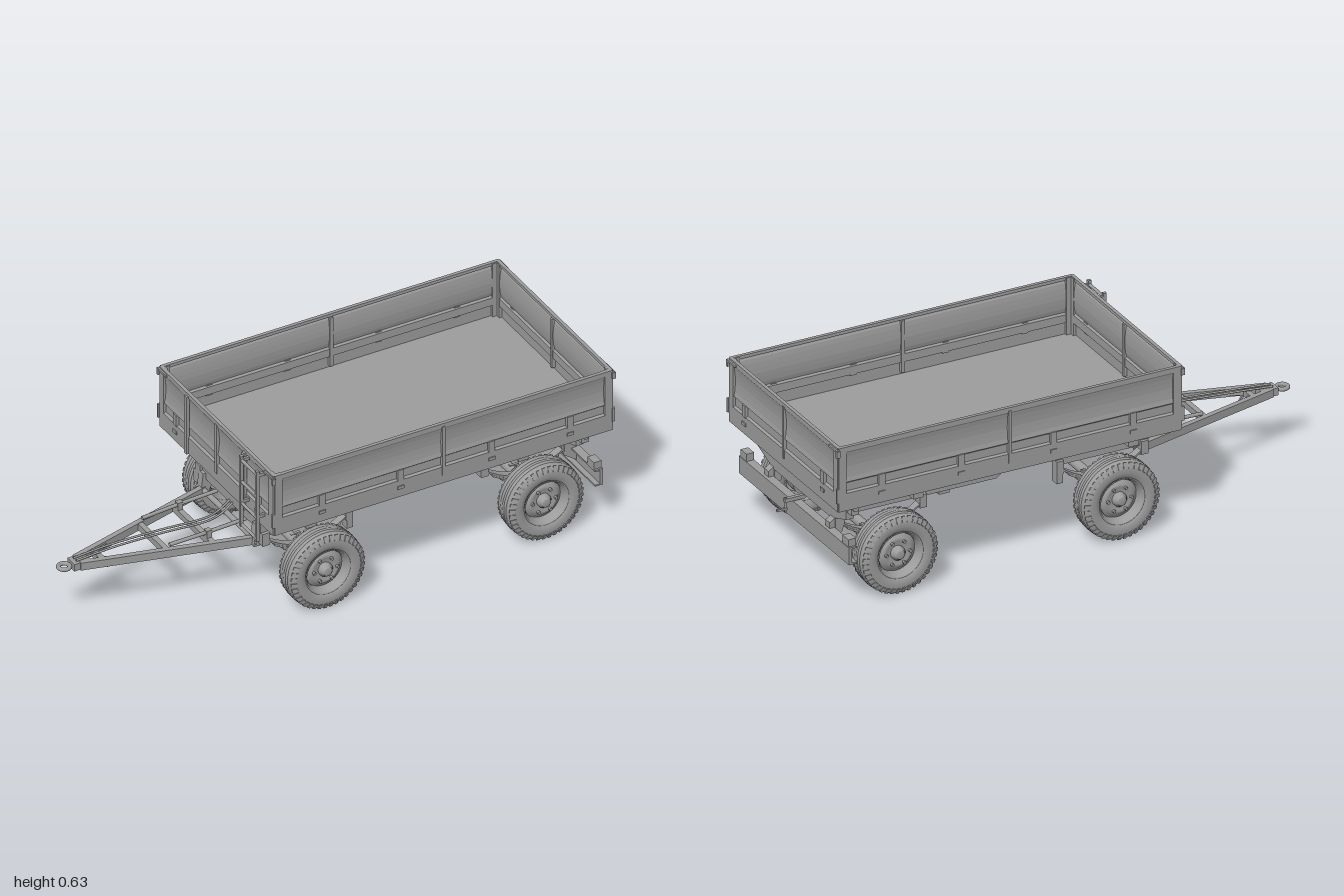
import * as THREE from 'three';
import { mergeGeometries } from 'three/addons/utils/BufferGeometryUtils.js';

const mat = new THREE.MeshStandardMaterial({ color: 0x9c9c9c, side: THREE.DoubleSide });
const V = (x, y, z) => new THREE.Vector3(x, y, z);

function add(parent, name, geo, x = 0, y = 0, z = 0) {
  const m = new THREE.Mesh(geo, mat);
  m.name = name;
  m.position.set(x, y, z);
  parent.add(m);
  return m;
}
// Box given by its minimum and maximum corners
const span = (p, name, x0, x1, y0, y1, z0, z1) =>
  add(p, name, new THREE.BoxGeometry(x1 - x0, y1 - y0, z1 - z0), (x0 + x1) / 2, (y0 + y1) / 2, (z0 + z1) / 2);
// Square bar between two points
function bar(p, name, a, b, w, h) {
  const m = add(p, name, new THREE.BoxGeometry(w, h, a.distanceTo(b)));
  m.position.copy(a).lerp(b, 0.5);
  m.lookAt(b);
  return m;
}
const tube = (p, name, pts, r) =>
  add(p, name, new THREE.TubeGeometry(new THREE.CatmullRomCurve3(pts), pts.length * 8, r, 8));
// Cylinder lying along z
const roll = (p, name, r, len, x, y, z, seg = 24) =>
  add(p, name, new THREE.CylinderGeometry(r, r, len, seg).rotateX(Math.PI / 2), x, y, z);
// Outline in x/y extruded symmetrically along z
function plate(pts, depth) {
  const shape = new THREE.Shape(pts.map(([x, y]) => new THREE.Vector2(x, y)));
  return new THREE.ExtrudeGeometry(shape, { depth, bevelEnabled: false }).translate(0, 0, -depth / 2);
}

// Pressed-steel board along local x, outer face at z = 0 towards +z
function board(name, length, ribs) {
  const g = new THREE.Group();
  g.name = name;
  const skin = [[0, 0.385], [0, 0.452], [-0.009, 0.457], [-0.009, 0.488], [-0.002, 0.494], [-0.006, 0.51],
    [-0.008, 0.53], [-0.009, 0.55], [-0.008, 0.57], [-0.006, 0.59], [-0.003, 0.607], [0, 0.612], [0, 0.63]];
  const inner = skin.slice().reverse().map(([o, y]) => [o - 0.006, y]);
  add(g, 'pressedPanel', plate([...skin, ...inner], length).rotateY(-Math.PI / 2));
  for (const s of [-1, 1])
    add(g, 'endStile', new THREE.BoxGeometry(0.03, 0.243, 0.017), s * (length / 2 - 0.015), 0.5075, -0.008);
  add(g, 'middleRib', new THREE.BoxGeometry(0.013, 0.2, 0.021), 0, 0.518, -0.008);
  add(g, 'topRail', new THREE.BoxGeometry(length, 0.012, 0.013), 0, 0.6245, -0.006);
  for (const x of ribs) {
    add(g, 'shortRib', new THREE.BoxGeometry(0.024, 0.045, 0.014), x, 0.473, -0.004);
    add(g, 'hinge', new THREE.BoxGeometry(0.026, 0.012, 0.006), x, 0.424, 0.001);
  }
  return g;
}

// Wheel with its outer side towards +z
function wheel(name) {
  const g = new THREE.Group();
  g.name = name;
  const half = [[0.084, -0.036], [0.092, -0.044], [0.108, -0.048], [0.125, -0.0475], [0.138, -0.044], [0.144, -0.039],
    [0.147, -0.03], [0.1485, -0.021], [0.145, -0.02], [0.145, -0.018], [0.149, -0.017],
    [0.149, -0.007], [0.146, -0.006], [0.146, -0.004], [0.1495, -0.003]];
  const lathe = pts => new THREE.LatheGeometry(pts.map(([r, y]) => new THREE.Vector2(r, y)), 48).rotateX(Math.PI / 2);
  add(g, 'tyre', lathe([...half, ...half.slice().reverse().map(([r, y]) => [r, -y]), [0.082, 0], [0.084, -0.036]]));
  // Shoulder lugs, set tangent to the rounded shoulder
  const lugs = [];
  for (let i = 0; i < 40; i++) for (const s of [-1, 1])
    lugs.push(new THREE.BoxGeometry(0.012, 0.022, 0.008).rotateX(-s * 0.42)
      .translate(0, 0.135, s * 0.0425).rotateZ((i + (s > 0 ? 0.5 : 0)) * Math.PI / 20));
  add(g, 'treadLugs', mergeGeometries(lugs));
  add(g, 'rim', lathe([[0.088, -0.042], [0.083, -0.043], [0.08, -0.03], [0.074, -0.02], [0.074, 0.022],
    [0.08, 0.032], [0.084, 0.044], [0.089, 0.043]]));
  add(g, 'wheelDisc', lathe([[0.074, 0.008], [0.066, 0.012], [0.056, 0.023], [0.044, 0.024], [0.034, 0.018], [0, 0.018]]));
  add(g, 'hub', lathe([[0.026, 0.01], [0.026, 0.03], [0.019, 0.034], [0.018, 0.042], [0.013, 0.045], [0, 0.045]]));
  roll(g, 'brakeDrum', 0.064, 0.05, 0, 0, -0.027, 32);
  for (let i = 0; i < 6; i++) {
    const a = i * Math.PI / 3;
    roll(g, 'wheelNut', 0.006, 0.012, 0.046 * Math.cos(a), 0.046 * Math.sin(a), 0.027, 6);
  }
  return g;
}

// Axle with wheels, leaf springs and clamps
function axle(name, x) {
  const g = new THREE.Group();
  g.name = name;
  g.position.x = x;
  roll(g, 'axleTube', 0.018, 0.26, 0, 0.152, 0);
  roll(g, 'axleShaft', 0.012, 0.62, 0, 0.152, 0);
  for (const s of [-1, 1]) {
    const w = wheel(s > 0 ? 'leftWheel' : 'rightWheel');
    w.position.set(0, 0.154, s * 0.337);
    if (s < 0) w.rotation.y = Math.PI;
    g.add(w);
    roll(g, 'axleFlange', 0.018, 0.03, 0, 0.152, s * 0.142);
    bar(g, 'brakeLever', V(0, 0.15, s * 0.135), V(0.02, 0.18, s * 0.135), 0.01, 0.014);
    for (let i = 0; i < 4; i++) {
      const L = 0.165 - i * 0.035, up = [], low = [];
      for (let k = -6; k <= 6; k++) {
        const px = L * k / 6, py = 0.196 - i * 0.008 + 0.065 * (px / 0.165) ** 2;
        up.unshift([px, py]);
        low.push([px, py - 0.0075]);
      }
      add(g, 'springLeaf', plate([...low, ...up], 0.03), 0, 0, s * 0.222);
    }
    span(g, 'springSeat', -0.03, 0.03, 0.128, 0.166, s * 0.222 - 0.022, s * 0.222 + 0.022);
    span(g, 'springTopPlate', -0.03, 0.03, 0.196, 0.205, s * 0.222 - 0.022, s * 0.222 + 0.022);
    for (const dx of [-0.022, 0.022]) for (const dz of [-0.017, 0.017])
      add(g, 'clampBolt', new THREE.CylinderGeometry(0.004, 0.004, 0.105, 8), dx, 0.163, s * 0.222 + dz);
    for (const dx of [-0.165, 0.165])
      span(g, 'springHanger', dx - 0.014, dx + 0.014, 0.235, 0.285, s * 0.222 - 0.018, s * 0.222 + 0.018);
  }
  return g;
}

export function createModel() {
  const root = new THREE.Group();
  root.name = 'flatbedTrailer';

  // Load bed
  const bed = new THREE.Group();
  bed.name = 'loadBed';
  root.add(bed);
  span(bed, 'floor', -0.366, 0.97, 0.389, 0.41, -0.394, 0.394);
  for (const x of [-0.28, 0.0, 0.37, 0.64, 0.885]) span(bed, 'floorJoist', x - 0.015, x + 0.015, 0.38, 0.39, -0.37, 0.37);
  const place = (b, x, z, ry) => { b.position.set(x, 0, z); b.rotation.y = ry; bed.add(b); };
  const sideRibs = [-0.48, -0.17, 0.19, 0.5];
  place(board('leftBoard', 1.335, sideRibs), 0.3025, 0.398, 0);
  place(board('rightBoard', 1.335, sideRibs.map(x => -x)), 0.3025, -0.398, Math.PI);
  place(board('tailBoard', 0.79, [-0.285, 0.285]), 0.973, 0, Math.PI / 2);
  place(board('frontBoard', 0.79, [-0.285, 0.285]), -0.37, 0, -Math.PI / 2);
  for (const s of [-1, 1]) {
    for (const x of [-0.37, 0.974]) {
      span(bed, 'cornerLatch', x - 0.007, x + 0.007, 0.597, 0.622, s * 0.398 - 0.006, s * 0.398 + 0.006);
      span(bed, 'latchBar', x - 0.006, x + 0.006, 0.616, 0.624, s * 0.37 - 0.03, s * 0.37 + 0.03);
      span(bed, 'lowerLatch', x - 0.006, x + 0.005, 0.42, 0.475, s * 0.397 - 0.004, s * 0.397 + 0.004);
    }
    span(bed, 'frontPost', -0.379, -0.366, 0.385, 0.62, s * 0.2 - 0.008, s * 0.2 + 0.008);
    for (const x of [-0.2, 0.64]) span(bed, 'edgeBracket', x - 0.02, x + 0.02, 0.345, 0.392, s * 0.345 - 0.016, s * 0.345 + 0.016);
  }
  // Ladder on the front board
  for (const z of [0.225, 0.335]) {
    span(bed, 'ladderRail', -0.405, -0.393, 0.34, 0.628, z - 0.006, z + 0.006);
    for (const y of [0.44, 0.61]) span(bed, 'ladderBracket', -0.4, -0.37, y - 0.006, y + 0.006, z - 0.005, z + 0.005);
  }
  for (let i = 0; i < 4; i++) roll(bed, 'ladderRung', 0.006, 0.11, -0.399, 0.347 + i * 0.088, 0.28, 10);

  // Chassis
  const chassis = new THREE.Group();
  chassis.name = 'chassis';
  root.add(chassis);
  const rail = [[-0.3, 0.345], [0.17, 0.34], [0.26, 0.27], [0.9, 0.27], [0.9, 0.337], [0.28, 0.337], [0.2, 0.38], [-0.3, 0.382]];
  for (const s of [-1, 1]) {
    add(chassis, 'mainRail', plate(rail, 0.035), 0, 0, s * 0.205);
    bar(chassis, 'supportStrut', V(0.275, 0.275, s * 0.07), V(0.36, 0.165, s * 0.03), 0.018, 0.014);
    bar(chassis, 'supportStrut', V(0.465, 0.275, s * 0.07), V(0.38, 0.165, s * 0.03), 0.018, 0.014);
    bar(chassis, 'diagonalBrace', V(0.5, 0.3, 0), V(0.87, 0.3, s * 0.19), 0.025, 0.03);
    for (const x of [0.375, 0.64]) span(chassis, 'bedRest', x - 0.02, x + 0.02, 0.335, 0.382, s * 0.205 - 0.018, s * 0.205 + 0.018);
    add(chassis, 'bumperBracket', plate([[0.855, 0.275], [0.87, 0.22], [0.92, 0.185], [0.92, 0.262], [0.9, 0.275]], 0.03), 0, 0, s * 0.222);
    span(chassis, 'tailLamp', 0.9, 0.93, 0.24, 0.268, s * 0.37 - 0.022, s * 0.37 + 0.022);
    roll(chassis, 'bedPivot', 0.012, 0.05, 0.885, 0.365, s * 0.34, 16);
    span(chassis, 'pivotBracket', 0.87, 0.9, 0.337, 0.39, s * 0.343 - 0.016, s * 0.343 + 0.016);
  }
  for (const x of [-0.28, 0.16]) span(chassis, 'crossMember', x - 0.018, x + 0.018, 0.342, 0.376, -0.275, 0.275);
  for (const x of [0.28, 0.47, 0.6]) span(chassis, 'crossMember', x - 0.015, x + 0.015, 0.275, 0.333, -0.2, 0.2);
  // Rear bolster with raised ends
  const bolster = [[-0.32, 0.385], [-0.32, 0.305], [-0.21, 0.267], [0.21, 0.267], [0.32, 0.305], [0.32, 0.385],
    [0.275, 0.385], [0.275, 0.333], [-0.275, 0.333], [-0.275, 0.385]];
  add(chassis, 'rearBolster', plate(bolster, 0.03).rotateY(Math.PI / 2), 0.885, 0, 0);
  span(chassis, 'bumper', 0.92, 0.932, 0.174, 0.24, -0.4, 0.4);
  for (const y of [0.177, 0.237]) span(chassis, 'bumperLip', 0.9, 0.932, y - 0.003, y + 0.003, -0.4, 0.4);
  // Tipping ram, air tank and rear hitch
  add(chassis, 'ramBody', new THREE.CylinderGeometry(0.03, 0.03, 0.15, 24), 0.37, 0.26, 0);
  add(chassis, 'ramPiston', new THREE.CylinderGeometry(0.022, 0.022, 0.22, 24), 0.37, 0.28, 0);
  span(chassis, 'ramFoot', 0.35, 0.39, 0.158, 0.182, -0.045, 0.045);
  add(chassis, 'airTank', new THREE.CapsuleGeometry(0.035, 0.13, 8, 24).rotateX(Math.PI / 2), 0.68, 0.275, 0);
  bar(chassis, 'hitchArm', V(0.89, 0.255, 0), V(0.97, 0.255, 0), 0.014, 0.014);
  bar(chassis, 'hitchHook', V(0.96, 0.222, 0), V(1, 0.222, 0), 0.008, 0.008);
  add(chassis, 'hitchPin', new THREE.CylinderGeometry(0.004, 0.004, 0.055, 10), 0.965, 0.238, 0);

  root.add(axle('rearAxle', 0.72), axle('frontAxle', -0.144));

  // Steering turntable and front subframe
  const steer = new THREE.Group();
  steer.name = 'steeringFrame';
  root.add(steer);
  add(steer, 'turntableUpper', new THREE.CylinderGeometry(0.165, 0.165, 0.012, 48), -0.144, 0.337, 0);
  add(steer, 'turntableLower', new THREE.CylinderGeometry(0.172, 0.172, 0.014, 48), -0.144, 0.32, 0);
  for (const s of [-1, 1]) {
    add(steer, 'subframeRail', plate([[-0.325, 0.285], [-0.29, 0.265], [0.03, 0.265], [0.035, 0.305], [-0.01, 0.315], [-0.29, 0.33], [-0.325, 0.32]], 0.035), 0, 0, s * 0.21);
    add(steer, 'drawbarHanger', plate([[-0.335, 0.215], [-0.305, 0.215], [-0.28, 0.27], [-0.28, 0.3], [-0.325, 0.3]], 0.03), 0, 0, s * 0.185);
    span(steer, 'rearHanger', 0.01, 0.035, 0.2, 0.285, s * 0.222 - 0.017, s * 0.222 + 0.017);
  }
  for (const x of [-0.3, -0.144, 0.015]) span(steer, 'subframeCross', x - 0.014, x + 0.014, 0.275, 0.313, -0.21, 0.21);
  roll(steer, 'drawbarPivot', 0.01, 0.42, -0.322, 0.232, 0, 16);

  // Drawbar
  const draw = new THREE.Group();
  draw.name = 'drawbar';
  root.add(draw);
  for (const s of [-1, 1]) {
    bar(draw, 'drawbarArm', V(-0.315, 0.23, s * 0.18), V(-0.92, 0.228, s * 0.02), 0.02, 0.03);
    bar(draw, 'drawbarGusset', V(-0.85, 0.228, s * 0.01), V(-0.78, 0.228, s * 0.052), 0.012, 0.014);
    tube(draw, 'balanceSpring', [V(-0.61, 0.255, s * 0.095), V(-0.45, 0.262, s * 0.1), V(-0.31, 0.268, s * 0.1)], 0.007);
    span(draw, 'springEye', -0.47, -0.45, 0.235, 0.272, s * 0.1 - 0.01, s * 0.1 + 0.01);
    tube(draw, 'hose', [V(-0.93, 0.245, s * 0.01), V(-0.78, 0.256, 0.004 + s * 0.01), V(-0.6, 0.262, 0.018 + s * 0.01),
      V(-0.42, 0.262, 0.03 + s * 0.01), V(-0.36, 0.266, 0.015 + s * 0.01), V(-0.3, 0.29, s * 0.01)], 0.004);
  }
  for (const [x, w] of [[-0.46, 0.138], [-0.62, 0.096], [-0.84, 0.036]]) span(draw, 'drawbarCross', x - 0.01, x + 0.01, 0.218, 0.242, -w, w);
  span(draw, 'noseBlock', -0.945, -0.88, 0.214, 0.242, -0.025, 0.025);
  add(draw, 'towEye', new THREE.TorusGeometry(0.02, 0.008, 10, 28).rotateX(Math.PI / 2), -0.972, 0.229, 0);
  bar(draw, 'propLever', V(-0.83, 0.222, 0.02), V(-0.81, 0.19, 0.02), 0.008, 0.008);
  return root;
}
